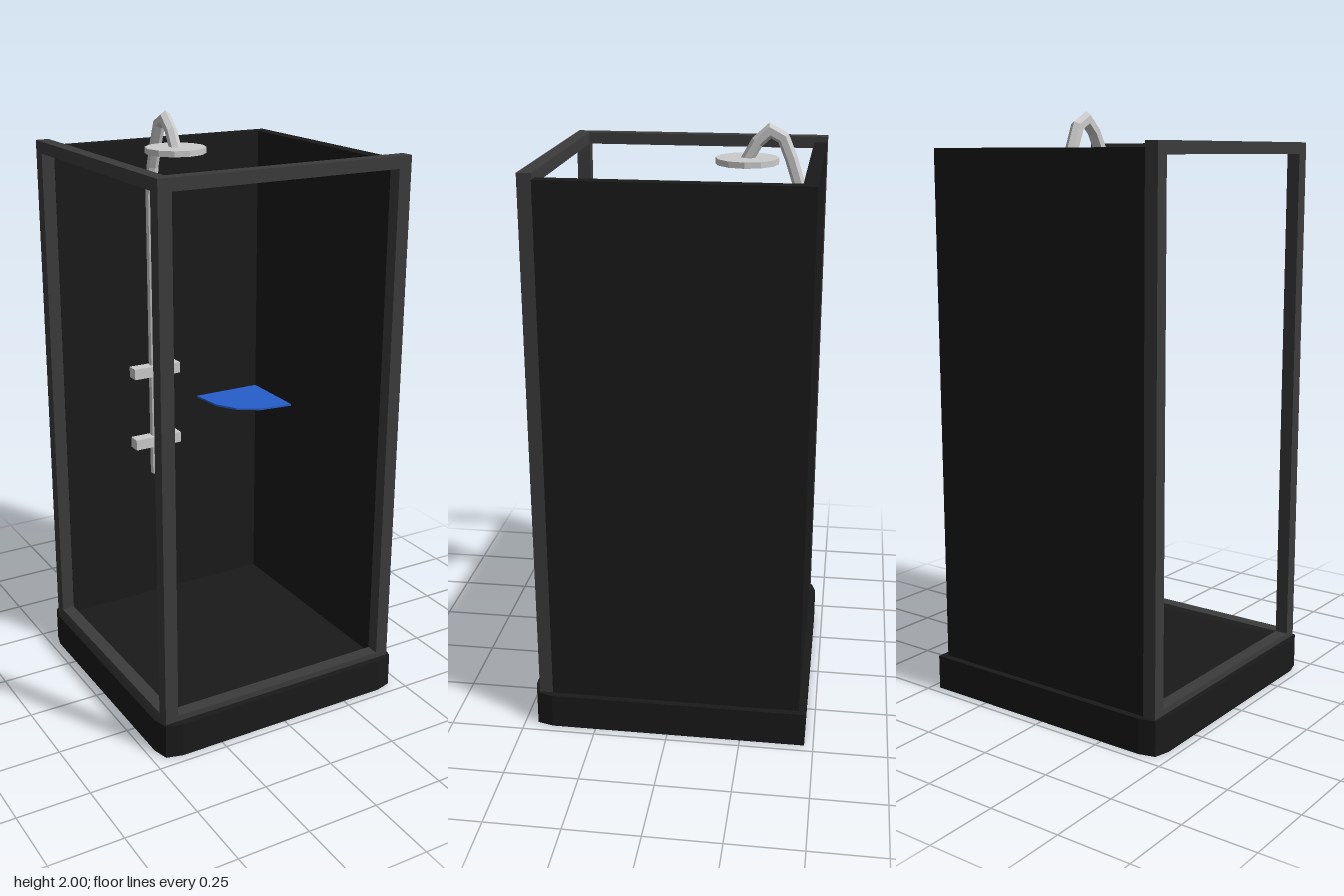
import * as THREE from 'three';

const mat = (color) => new THREE.MeshStandardMaterial({ color, flatShading: true });

export function createModel() {
  const model = new THREE.Group();
  const black = mat(0x1a1a1a), frameGrey = mat(0x3b3b3b), chrome = mat(0xcccccc), blue = mat(0x275ecb);

  const add = (name, geometry, material, parent = model) => {
    const mesh = new THREE.Mesh(geometry, material);
    mesh.name = name;
    parent.add(mesh);
    return mesh;
  };
  // Box given by its lower and upper corners
  const box = (name, [x0, y0, z0], [x1, y1, z1], material, parent) => {
    const mesh = add(name, new THREE.BoxGeometry(x1 - x0, y1 - y0, z1 - z0), material, parent);
    mesh.position.set((x0 + x1) / 2, (y0 + y1) / 2, (z0 + z1) / 2);
    return mesh;
  };
  // Horizontal slab from an outline of [x, z] points
  const slab = (name, outline, y, height, material) => {
    const shape = new THREE.Shape(outline.map(([x, z]) => new THREE.Vector2(x, -z)));
    const geometry = new THREE.ExtrudeGeometry(shape, { depth: height, bevelEnabled: false });
    geometry.rotateX(-Math.PI / 2);
    add(name, geometry, material).position.y = y;
  };

  // Base tray: three blunted corners, square where the two walls meet
  slab('baseTray', [
    [-0.47, -0.4], [-0.455, -0.455], [-0.4, -0.47], [0.47, -0.47],
    [0.47, 0.4], [0.455, 0.455], [0.4, 0.47],
    [-0.4, 0.47], [-0.455, 0.455], [-0.47, 0.4],
  ], 0, 0.12, black);

  // Solid walls
  box('backWall', [-0.405, 0.12, -0.447], [0.447, 1.89, -0.403], black);
  box('rightWall', [0.402, 0.12, -0.403], [0.447, 1.89, 0.402], black);

  // Open frame on the front and the -x side
  const frame = new THREE.Group();
  frame.name = 'frame';
  model.add(frame);
  const lo = -0.45, hi = 0.447, t = 0.046;
  for (const [x, z] of [[lo, lo], [lo, hi - t], [hi - t, hi - t]]) {
    box('framePost', [x, 0.12, z], [x + t, 1.91, z + t], frameGrey, frame);
  }
  for (const [y0, y1] of [[0.1, 0.14], [1.87, 1.91]]) {
    box('frontRail', [lo + t, y0, hi - t], [hi - t, y1, hi], frameGrey, frame);
    box('sideRail', [lo, y0, lo + t], [lo + t, y1, hi - t], frameGrey, frame);
  }

  // Shower pipe and its two crossbars
  const pipe = [
    [0.635, -0.384], [1.7, -0.384], [1.8, -0.372], [1.89, -0.342], [1.955, -0.315],
    [1.978, -0.272], [1.94, -0.23], [1.88, -0.196],
  ];
  add('showerPipe', hexPipe(pipe, 0.021), chrome).position.x = -0.05;
  for (const y of [0.77, 1.048]) {
    box('crossbar', [-0.143, y - 0.02, -0.403], [0.044, y + 0.02, -0.358], chrome);
  }

  // Shower head
  add('showerHead', new THREE.CylinderGeometry(0.105, 0.105, 0.02, 12), chrome)
    .position.set(-0.05, 1.88, -0.198);

  // Corner shelf
  slab('cornerShelf', [
    [0.402, -0.403], [0.14, -0.403], [0.155, -0.28], [0.2, -0.205], [0.275, -0.16], [0.402, -0.145],
  ], 0.898, 0.007, blue);

  return model;
}

// Six-sided pipe along [y, z] points, with mitred joints and closed ends
function hexPipe(path, radius) {
  const points = path.map(([y, z]) => new THREE.Vector2(y, z));
  const positions = [], indices = [];
  points.forEach((p, i) => {
    const before = p.clone().sub(points[Math.max(i - 1, 0)]).normalize();
    const after = points[Math.min(i + 1, points.length - 1)].clone().sub(p).normalize();
    const along = before.clone().add(after).normalize();
    const reach = radius / Math.max(0.5, along.dot(i ? before : after));
    for (let k = 0; k < 6; k++) {
      const a = (k + 0.5) * Math.PI / 3;
      const side = Math.cos(a) * radius, out = Math.sin(a) * reach;
      positions.push(side, p.x - along.y * out, p.y + along.x * out);
    }
  });
  for (let i = 0; i < points.length - 1; i++) {
    for (let k = 0; k < 6; k++) {
      const a = i * 6 + k, b = i * 6 + (k + 1) % 6;
      indices.push(a, a + 6, b, b, a + 6, b + 6);
    }
  }
  const last = (points.length - 1) * 6;
  for (let k = 1; k < 5; k++) {
    indices.push(0, k, k + 1, last, last + k + 1, last + k);
  }
  const geometry = new THREE.BufferGeometry();
  geometry.setAttribute('position', new THREE.Float32BufferAttribute(positions, 3));
  geometry.setIndex(indices);
  const flat = geometry.toNonIndexed();
  flat.computeVertexNormals();
  return flat;
}
